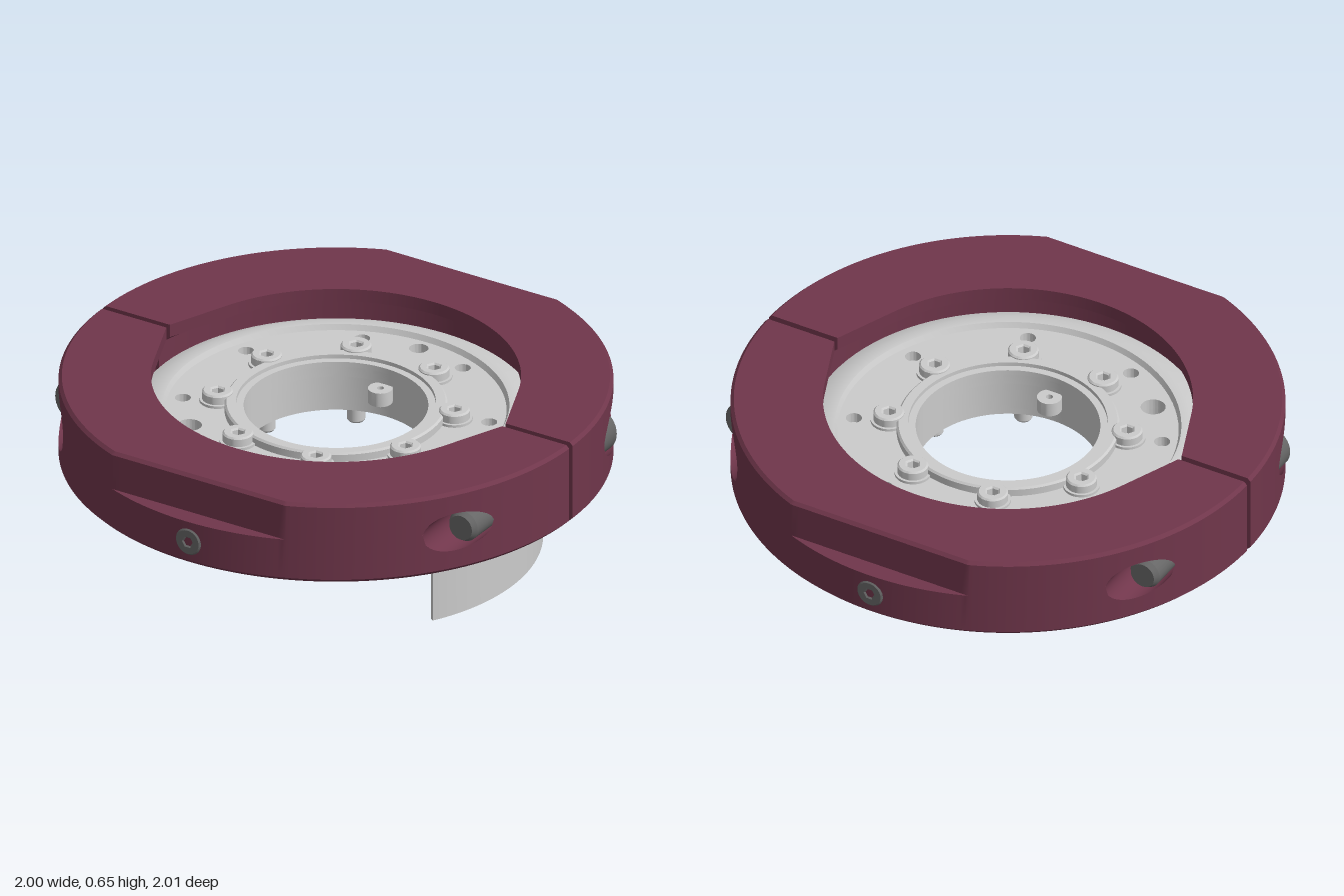
import * as THREE from 'three';
import { toCreasedNormals } from 'three/addons/utils/BufferGeometryUtils.js';

const steel = new THREE.MeshStandardMaterial({ color: 0xcccccc, side: THREE.DoubleSide });
const dark = new THREE.MeshStandardMaterial({ color: 0x666666, side: THREE.DoubleSide });
const maroon = new THREE.MeshStandardMaterial({ color: 0x70364b, side: THREE.DoubleSide });

const GAP = 0.012, BOLT_X = 0.845, BOLT_Y = 0.49, FLAT_Z = 0.93, LEDGE_Y = 0.5;
const BORES = [{ x: -BOLT_X, r: 0.11, seat: 0.26 }, { x: BOLT_X, r: 0.075, seat: 0.2 }];

function add(parent, name, geometry, material, x = 0, y = 0, z = 0) {
  const mesh = new THREE.Mesh(geometry, material);
  mesh.name = name;
  mesh.position.set(x, y, z);
  parent.add(mesh);
  return mesh;
}

// Skins a grid of points; skip(i, j) leaves a cell open.
function loft(rows, skip = () => false) {
  const pos = [];
  for (let i = 0; i < rows.length - 1; i++) {
    for (let j = 0; j < rows[i].length - 1; j++) {
      if (skip(i, j)) continue;
      const a = rows[i][j], b = rows[i][j + 1], c = rows[i + 1][j + 1], d = rows[i + 1][j];
      for (const p of [a, d, c, a, c, b]) pos.push(...p);
    }
  }
  const g = new THREE.BufferGeometry();
  g.setAttribute('position', new THREE.Float32BufferAttribute(pos, 3));
  return toCreasedNormals(g, 0.5);
}

function circlePath(x, y, r, Type = THREE.Path) {
  const p = new Type();
  p.absarc(x, y, r, 0, Math.PI * 2, Type === THREE.Path);
  return p;
}

// Flat plate with holes, lying in the xz plane from y0 to y1; holes are [x, z, r].
function plate(r, holes, y0, y1, segments = 48) {
  const shape = circlePath(0, 0, r, THREE.Shape);
  for (const [x, z, hr] of holes) shape.holes.push(circlePath(x, -z, hr));
  const g = new THREE.ExtrudeGeometry(shape, { depth: y1 - y0, bevelEnabled: false, curveSegments: segments });
  return toCreasedNormals(g.rotateX(-Math.PI / 2).translate(0, y0, 0), 0.5);
}

function lathe(points) {
  const g = new THREE.LatheGeometry(points.map(([r, y]) => new THREE.Vector2(r, y)), 96);
  return toCreasedNormals(g, 0.5);
}

// Cap screw head along +z with a hexagonal socket.
function socketHead(parent, name, material, r, height, hexR) {
  const g = new THREE.Group();
  g.name = name;
  const shape = circlePath(0, 0, r - 0.006, THREE.Shape), hex = new THREE.Path();
  for (let i = 0; i < 6; i++) {
    const a = -i * Math.PI / 3;
    hex[i ? 'lineTo' : 'moveTo'](hexR * Math.cos(a), hexR * Math.sin(a));
  }
  hex.closePath();
  shape.holes.push(hex);
  const body = new THREE.ExtrudeGeometry(shape, { depth: height - 0.012, bevelSize: 0.006, bevelThickness: 0.006, bevelSegments: 1, curveSegments: 20 });
  add(g, 'head', toCreasedNormals(body.translate(0, 0, 0.006), 0.5), material);
  add(g, 'socketFloor', new THREE.CircleGeometry(hexR * 1.1, 24), material, 0, 0, height * 0.4);
  parent.add(g);
  return g;
}

// Opening is round, drawn out to a tangent corner at the split.
function openingRadius(t) {
  const a = 0.385, s = Math.min(t, Math.PI - t);
  return s < a ? 0.667 / Math.cos(a - s) : 0.667;
}

// Half height of a bolt bore where the outer wall stands at x.
function boreHalf(x) {
  for (const b of BORES) {
    const q = b.r * b.r - (x - b.x) ** 2;
    if (q > 1e-6) return Math.sqrt(q);
  }
  return 0;
}

// Section of the clamp: over the top, down the outside, back along the bottom, up the groove.
function clampSection(t) {
  const ri = openingRadius(t), ro = Math.min(1, FLAT_Z / Math.max(Math.sin(t), 1e-3));
  const h = boreHalf(Math.cos(t)), y = h > 0 ? BOLT_Y : LEDGE_Y;
  return [[ri, 0.65], [ro - 0.012, 0.65], [ro, 0.638], [ro, y + h], [1, y - h], [1, 0.345], [0.985, 0.33],
    [ri, 0.33], [ri, 0.365], [0.76, 0.40], [0.76, 0.56], [ri, 0.60], [ri, 0.65]];
}

function clampHalf() {
  const half = new THREE.Group();
  half.name = 'clampHalf';

  const angles = Array.from({ length: 181 }, (_, i) => i * Math.PI / 180);
  for (const b of BORES) angles.push(Math.acos(b.x - b.r), Math.acos(b.x + b.r));
  angles.push(Math.asin(FLAT_Z), Math.PI - Math.asin(FLAT_Z));
  angles.sort((a, b) => a - b);
  const rows = angles.map(t => clampSection(t).map(([r, y]) => [r * Math.cos(t), y, Math.max(r * Math.sin(t), GAP)]));
  const open = angles.map(t => boreHalf(Math.cos(t)) > 0);
  add(half, 'clampBody', loft(rows, (i, j) => j === 3 && (open[i] || open[i + 1])), maroon);

  // faces at the split
  const cap = new THREE.Shape(clampSection(0).slice(0, -1).map(([r, y]) => new THREE.Vector2(r, y)));
  for (const side of [0, Math.PI]) {
    const face = add(half, 'splitFace', new THREE.ShapeGeometry(cap), maroon, 0, 0, GAP);
    face.rotation.y = side;
  }

  // bolt bores, trimmed to the round outer wall
  for (const b of BORES) {
    const wall = [];
    for (let i = 0; i <= 48; i++) {
      const a = i * Math.PI / 24, x = b.x + b.r * Math.cos(a), y = BOLT_Y + b.r * Math.sin(a);
      wall.push([[x, y, b.seat], [x, y, Math.sqrt(1 - x * x)]]);
    }
    add(half, 'boltBore', loft(wall), maroon);
    add(half, 'boreSeat', new THREE.CircleGeometry(b.r, 32), maroon, b.x, BOLT_Y, b.seat);
  }

  // clamp bolt: head in front, tip coming out of the other half
  socketHead(half, 'clampBoltHead', dark, 0.09, 0.14, 0.052).position.set(-BOLT_X, BOLT_Y, 0.28);
  const shank = add(half, 'clampBoltShank', new THREE.CylinderGeometry(0.06, 0.06, 0.76, 32), dark, -BOLT_X, BOLT_Y, -0.1);
  shank.rotation.x = Math.PI / 2;
  const tip = add(half, 'clampBoltTip', new THREE.CylinderGeometry(0.06, 0.048, 0.02, 32), dark, -BOLT_X, BOLT_Y, -0.49);
  tip.rotation.x = Math.PI / 2;

  // small set screw in the middle
  socketHead(half, 'setScrew', dark, 0.053, 0.06, 0.024).position.set(0, 0.42, 0.945);
  return half;
}

export function createModel() {
  const model = new THREE.Group();
  model.name = 'clampRingAssembly';

  // two-part clamp ring
  const front = clampHalf(), back = clampHalf();
  back.rotation.y = Math.PI;
  model.add(front, back);

  // flange disc: body, drilled deck, rim and hub
  const flange = new THREE.Group();
  flange.name = 'flange';
  model.add(flange);
  const bore = [0, 0, 0.333], through = [-0.385, 0.38, 0.045];
  const eighths = Array.from({ length: 8 }, (_, i) => (i + 0.5) * Math.PI / 4);
  const drilled = eighths.map(a => [0.56 * Math.cos(a), 0.56 * Math.sin(a), 0.029]);
  add(flange, 'discBody', plate(0.64, [bore, through], 0.335, 0.47), steel);
  add(flange, 'drilledDeck', plate(0.64, [bore, through, [0, -0.56, 0.035], ...drilled], 0.47, 0.51), steel);
  add(flange, 'clampedEdge', lathe([[0.63, 0.40], [0.66, 0.40], [0.725, 0.43], [0.725, 0.50], [0.66, 0.53], [0.625, 0.53], [0.615, 0.51]]), steel);
  add(flange, 'hub', lathe([[0.333, 0.36], [0.333, 0.53], [0.36, 0.53], [0.36, 0.545], [0.395, 0.545], [0.402, 0.538], [0.402, 0.50]]), steel);

  // ears with a pin hole inside the bore
  for (const s of [-1, 1]) add(flange, 'boreEar', plate(0.045, [[0, 0, 0.013]], 0.41, 0.465, 16), steel, 0, 0, s * 0.3);

  // flange bolts with their shafts standing out below
  for (const a of eighths) {
    const x = 0.433 * Math.cos(a), z = 0.433 * Math.sin(a);
    const head = socketHead(flange, 'flangeBoltHead', steel, 0.056, 0.06, 0.03);
    head.rotation.x = -Math.PI / 2;
    head.position.set(x, 0.495, z);
    add(flange, 'boltSeat', new THREE.CylinderGeometry(0.066, 0.066, 0.02, 32), steel, x, 0.51, z);
    add(flange, 'flangeBoltShaft', new THREE.CylinderGeometry(0.033, 0.033, 0.12, 24), steel, x, 0.312, z);
    add(flange, 'flangeBoltEnd', new THREE.CylinderGeometry(0.033, 0.027, 0.008, 24), steel, x, 0.248, z);
  }

  // curved guard hanging below the clamp
  const guard = new THREE.Shape();
  guard.absarc(0, 0, 0.747, -Math.PI / 6, Math.PI / 6, false);
  guard.absarc(0, 0, 0.734, Math.PI / 6, -Math.PI / 6, true);
  const guardGeo = new THREE.ExtrudeGeometry(guard, { depth: 0.35, bevelEnabled: false, curveSegments: 32 });
  add(model, 'guard', toCreasedNormals(guardGeo.rotateX(-Math.PI / 2), 0.5), steel);

  return model;
}
